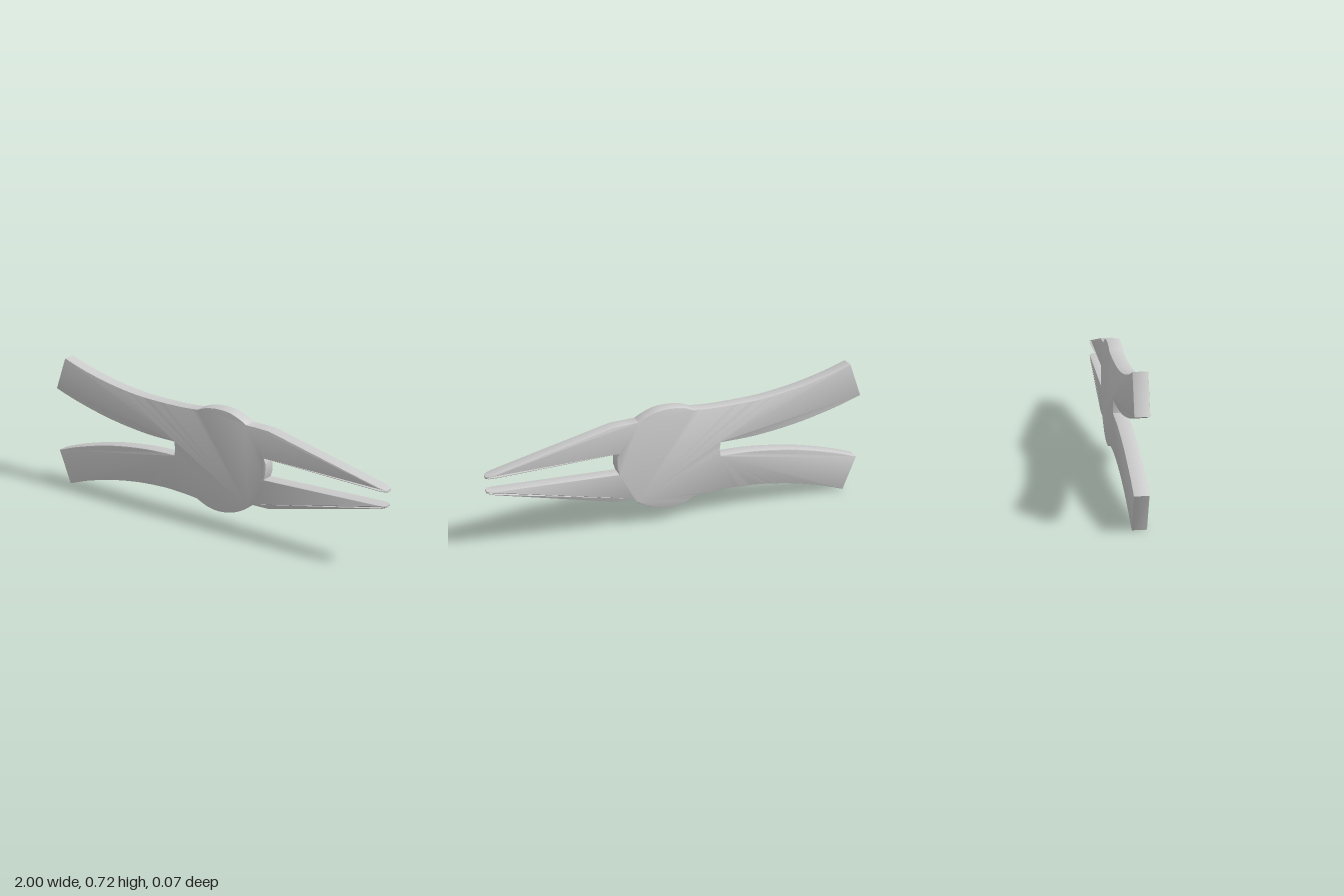
import * as THREE from 'three';
import { toCreasedNormals } from 'three/addons/utils/BufferGeometryUtils.js';

const HALF = 0.035; // half thickness of the plate
const BEVEL = 0.004;

export function createModel() {
  const group = new THREE.Group();
  group.name = 'pliers';

  const outline = new THREE.Shape();
  const line = (...pts) => pts.forEach(([x, y]) => outline.lineTo(x, y));
  const curve = (...pts) => outline.splineThru(pts.map(([x, y]) => new THREE.Vector2(x, y)));

  // upper handle, outer edge
  outline.moveTo(-0.93, 0.724);
  curve([-0.8, 0.68], [-0.63, 0.637], [-0.45, 0.608], [-0.28, 0.598], [-0.15, 0.597], [-0.06, 0.602]);
  // upper bulge of the joint
  curve([-0.01, 0.62], [0.06, 0.628], [0.13, 0.622], [0.19, 0.6], [0.23, 0.578]);
  // upper jaw
  line([0.29, 0.576], [0.36, 0.572], [0.96, 0.419], [0.985, 0.413], [1, 0.408],
    [1, 0.398], [0.985, 0.399], [0.96, 0.4], [0.335, 0.425]);
  // slot between the jaws
  line([0.345, 0.4], [0.345, 0.345], [0.335, 0.313]);
  // lower jaw
  line([0.96, 0.33], [0.985, 0.331], [1, 0.332], [1, 0.322], [0.985, 0.317], [0.96, 0.311],
    [0.365, 0.165], [0.27, 0.163]);
  // lower bulge of the joint
  curve([0.22, 0.125], [0.15, 0.092], [0.07, 0.079], [0, 0.088], [-0.07, 0.118]);
  // lower handle, outer edge, end and inner edge
  curve([-0.16, 0.126], [-0.28, 0.13], [-0.45, 0.119], [-0.63, 0.09], [-0.8, 0.047], [-0.93, 0.002]);
  line([-1, 0.187]);
  curve([-0.85, 0.237], [-0.63, 0.29], [-0.4, 0.32], [-0.21, 0.326]);
  // slot between the handles, then the upper handle's inner edge and end
  line([-0.205, 0.36], [-0.21, 0.399]);
  curve([-0.4, 0.406], [-0.63, 0.439], [-0.85, 0.493], [-1, 0.543]);
  outline.closePath();

  const plate = new THREE.ExtrudeGeometry(outline, {
    depth: 2 * (HALF - BEVEL), curveSegments: 28,
    bevelEnabled: true, bevelThickness: BEVEL, bevelSize: BEVEL, bevelOffset: -BEVEL, bevelSegments: 2,
  });
  plate.translate(0, 0, BEVEL - HALF);

  // round the jaw tips through the thickness
  const p = plate.attributes.position;
  for (let i = 0; i < p.count; i++) {
    const t = Math.max(0, (p.getX(i) - 0.962) / 0.038);
    p.setZ(i, p.getZ(i) * Math.sqrt(1 - 0.8 * Math.min(1, t * t)));
  }

  const body = new THREE.Mesh(
    toCreasedNormals(plate, 0.5),
    new THREE.MeshStandardMaterial({ color: 0xcccccc })
  );
  body.name = 'handlesJointAndJaws';
  group.add(body);
  return group;
}
